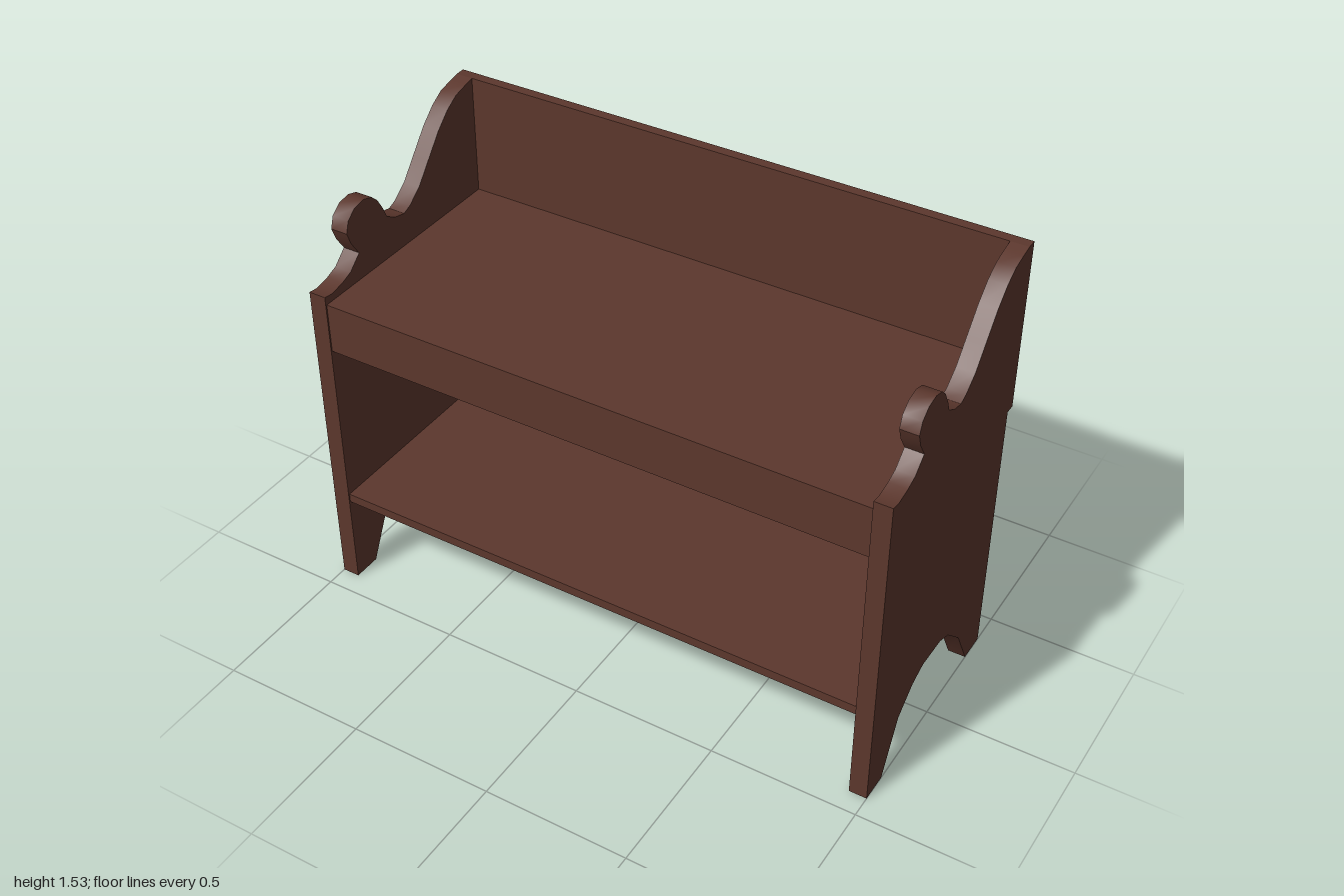
import * as THREE from 'three';
import { toCreasedNormals } from 'three/addons/utils/BufferGeometryUtils.js';

const wood = new THREE.MeshStandardMaterial({ color: 0x5c372d });
wood.name = 'darkWood';

const INNER = 0.94, FRONT = 0.425, BACK = -0.39;

// Scalloped top edge of the end panels, front to back, as [z, y]
const topEdge = [
  [FRONT, 1.145], [0.39, 1.14], [0.338, 1.15], [0.294, 1.166], [0.245, 1.21],
  [0.277, 1.26], [0.293, 1.304], [0.28, 1.344], [0.245, 1.372], [0.2, 1.38],
  [0.16, 1.368], [0.135, 1.344], [0.11, 1.3], [0.095, 1.263], [0.055, 1.24],
  [0.01, 1.23], [-0.022, 1.243], [-0.075, 1.283], [-0.135, 1.356], [-0.196, 1.43],
  [-0.25, 1.48], [-0.3, 1.51], [-0.355, 1.523], [BACK, 1.53],
];

// Arched cut-out between the feet, back to front
const footArch = [
  [BACK, 0], [-0.29, 0], [-0.205, 0.155], [-0.107, 0.247], [-0.043, 0.272],
  [0.08, 0.275], [0.148, 0.25], [0.237, 0.182], [0.326, 0], [FRONT, 0],
];

// Board given by its lower and upper limits on each axis
function board(name, [x0, x1], [y0, y1], [z0, z1]) {
  const mesh = new THREE.Mesh(new THREE.BoxGeometry(x1 - x0, y1 - y0, z1 - z0), wood);
  mesh.position.set((x0 + x1) / 2, (y0 + y1) / 2, (z0 + z1) / 2);
  mesh.name = name;
  return mesh;
}

export function createModel() {
  const bench = new THREE.Group();
  bench.name = 'bench';

  // End panels
  const outline = new THREE.Shape([...topEdge, ...footArch].map(([z, y]) => new THREE.Vector2(-z, y)));
  const panel = toCreasedNormals(
    new THREE.ExtrudeGeometry(outline, { depth: 1 - INNER, bevelEnabled: false }).rotateY(Math.PI / 2),
    0.6
  );
  for (const [name, x] of [['leftPanel', INNER], ['rightPanel', -1]]) {
    const mesh = new THREE.Mesh(panel, wood);
    mesh.position.x = x;
    mesh.name = name;
    bench.add(mesh);
  }

  // Boards between and behind the panels
  const between = [-INNER, INNER];
  bench.add(
    board('backBoard', [-1, 1], [0.94, 1.53], [-0.425, BACK]),
    board('seat', between, [1.085, 1.115], [BACK, 0.42]),
    board('apron', between, [0.94, 1.085], [0.39, 0.42]),
    board('lowerShelf', between, [0.325, 0.357], [BACK, 0.42])
  );
  return bench;
}
